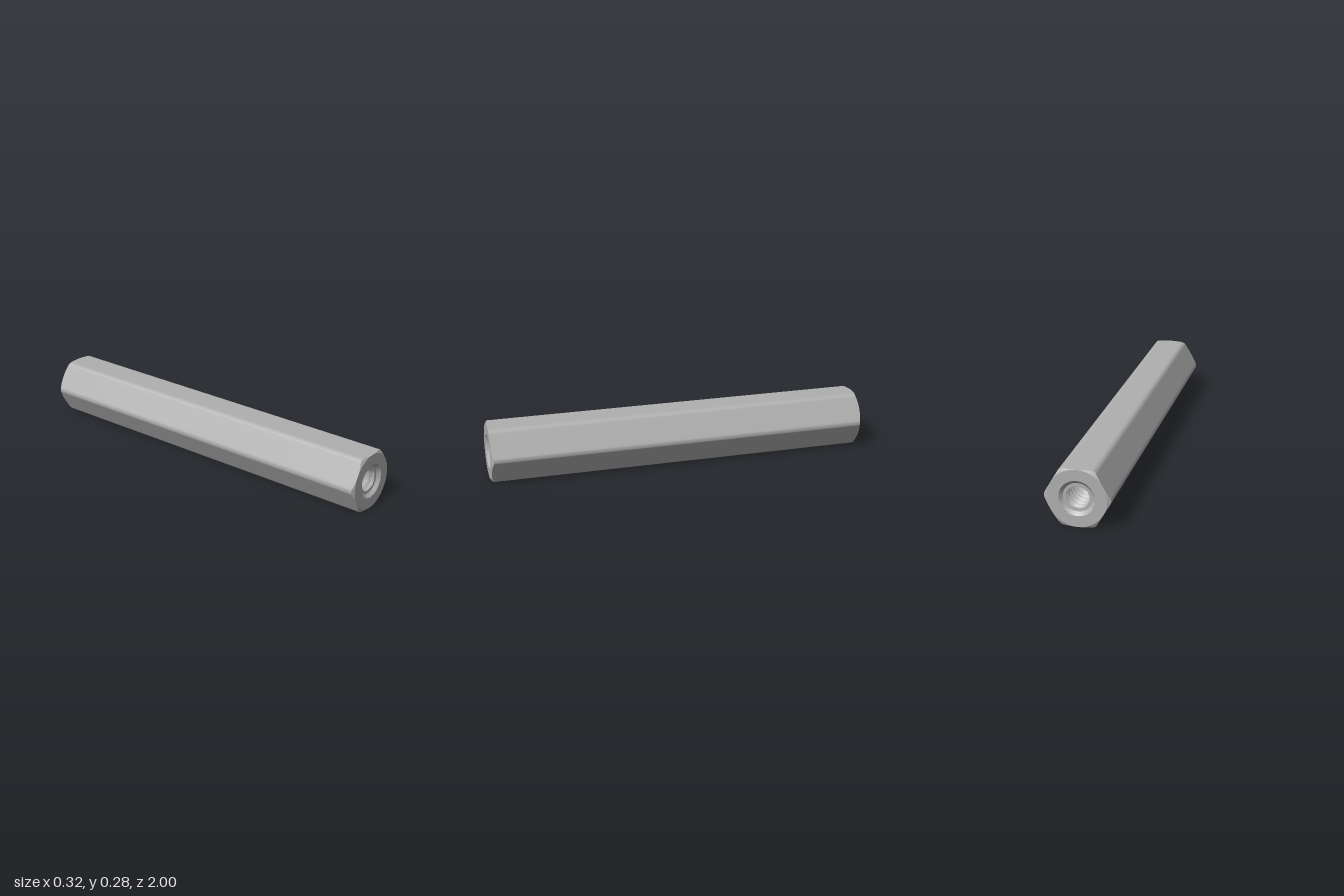
import * as THREE from 'three';
import { toCreasedNormals } from 'three/addons/utils/BufferGeometryUtils.js';

const APOTHEM = 0.1425, FILLET = 0.03, MOUTH = 0.0875;
const CREST = 0.056, ROOT = 0.071, PITCH = 0.036;
const TAU = Math.PI * 2;

// Skin around the z axis; each row is a function angle -> [radius, z]
function skin(rows, segs, crease) {
  const pos = [], index = [];
  rows.forEach((row, i) => {
    for (let j = 0; j <= segs; j++) {
      const t = (j / segs) * TAU, [r, z] = row(t);
      pos.push(r * Math.cos(t), r * Math.sin(t), z);
      if (i && j) {
        const c = i * (segs + 1) + j, d = c - segs - 1;
        index.push(d - 1, c - 1, c, d - 1, c, d);
      }
    }
  });
  const geo = new THREE.BufferGeometry();
  geo.setAttribute('position', new THREE.Float32BufferAttribute(pos, 3));
  geo.setIndex(index);
  return toCreasedNormals(geo, crease);
}

// Radius of a hexagon with rounded corners, one corner on +x
function hexRadius(t) {
  const sector = Math.PI / 3, half = sector / 2;
  const a = Math.abs(t - Math.round(t / sector) * sector);
  const c = (APOTHEM - FILLET) / Math.cos(half);
  const tangent = Math.atan2(FILLET * Math.sin(half), c + FILLET * Math.cos(half));
  if (a > tangent) return APOTHEM / Math.cos(half - a);
  return c * Math.cos(a) + Math.sqrt(FILLET ** 2 - (c * Math.sin(a)) ** 2);
}

// Hexagonal bar with conical end chamfers and annular end faces
function bodyGeometry() {
  const edge = (s) => (t) => {
    const r = hexRadius(t);
    return [r, s * (1 - (r - APOTHEM) * Math.tan(Math.PI / 6))];
  };
  const ring = (r, z) => () => [r, z];
  return skin([
    ring(MOUTH, 1), ring(APOTHEM, 1), edge(1),
    edge(-1), ring(APOTHEM, -1), ring(MOUTH, -1),
  ], 240, 0.4);
}

// Blind hole: flat floor, right-hand thread, countersunk mouth
function boreGeometry() {
  const floor = 0.48, top = 1 - (MOUTH - ROOT);
  const rows = [() => [0, floor], () => [ROOT, floor]];
  const profile = [[0, CREST], [0.12, CREST], [0.5, ROOT], [0.62, ROOT]];
  const turns = Math.ceil((top - floor) / PITCH);
  for (let k = -1; k <= turns; k++) {
    for (const [f, r] of profile) {
      rows.push((t) => [r, THREE.MathUtils.clamp(floor + (k + f + t / TAU) * PITCH, floor, top)]);
    }
  }
  rows.push(() => [ROOT, top], () => [MOUTH, 1]);
  return skin(rows, 64, 0.4);
}

export function createModel() {
  const steel = new THREE.MeshStandardMaterial({ color: 0xb0b0b0 });
  steel.name = 'steel grey';

  const model = new THREE.Group();
  model.name = 'hexStandoff';

  const body = new THREE.Mesh(bodyGeometry(), steel);
  body.name = 'hexBody';
  model.add(body);

  // Same threaded hole in both ends
  const bore = boreGeometry();
  ['frontThreadedHole', 'backThreadedHole'].forEach((name, i) => {
    const hole = new THREE.Mesh(bore, steel);
    hole.name = name;
    hole.rotation.y = i * Math.PI;
    model.add(hole);
  });

  model.children.forEach((part) => { part.position.y = APOTHEM; });
  return model;
}
